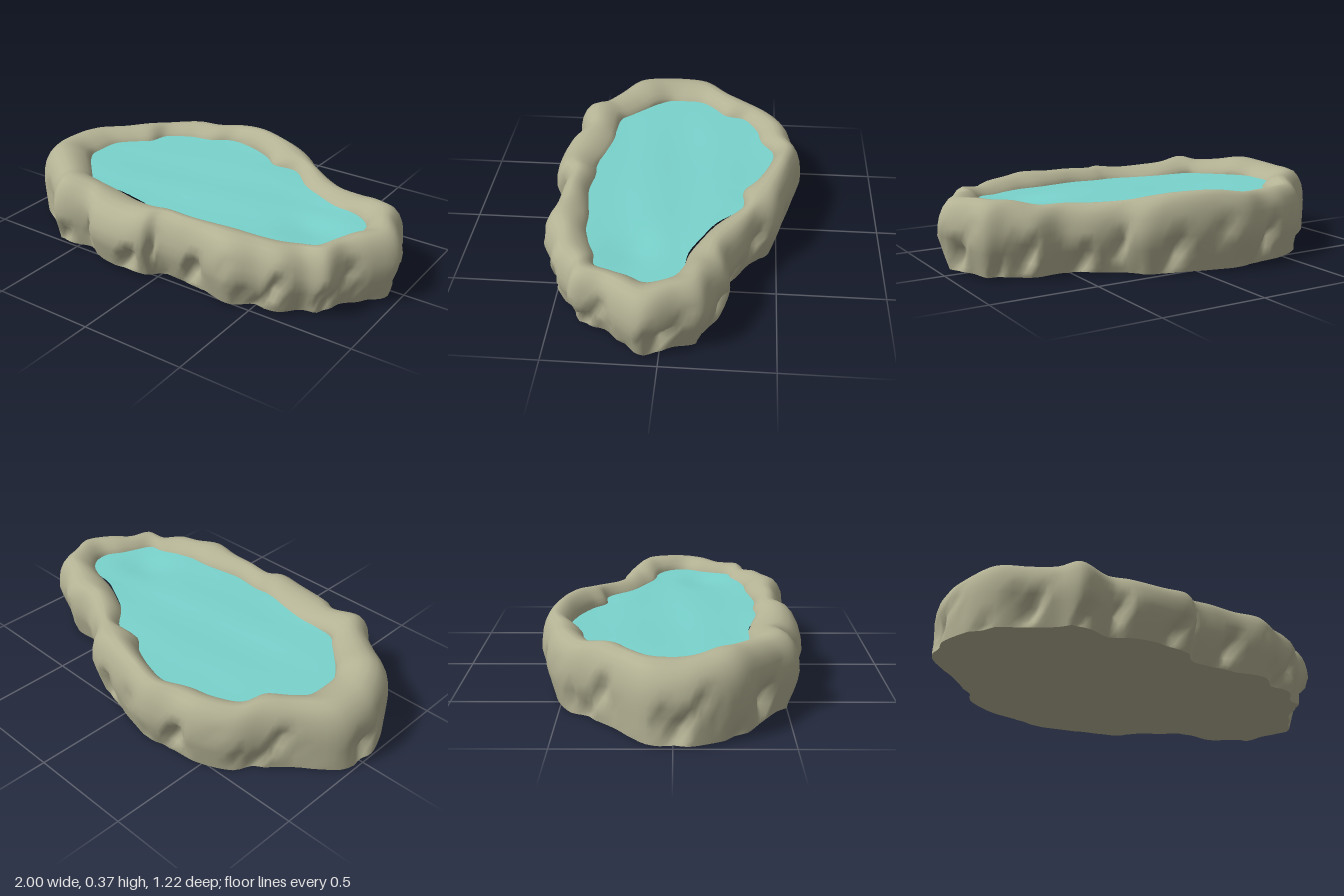
import * as THREE from 'three';

// Matching stations around the pond, clockwise from the right end: x, z pairs
const OUTER = [
  -1, .04, -.97, -.11, -.82, -.25, -.73, -.35, -.64, -.47, -.48, -.56, -.35, -.585, -.22, -.615,
  -.05, -.58, .14, -.53, .26, -.49, .34, -.4, .46, -.34, .57, -.285, .7, -.29, .8, -.23,
  .89, -.19, .93, -.08, 1, .06, .93, .18, .85, .27, .82, .39, .73, .42, .65, .5,
  .54, .52, .42, .575, .27, .55, .14, .54, .02, .54, -.03, .59, -.16, .605, -.33, .58,
  -.42, .525, -.58, .55, -.66, .47, -.76, .395, -.9, .29, -.97, .16];
const INNER = [
  -.74, .02, -.73, -.09, -.67, -.16, -.6, -.22, -.57, -.31, -.46, -.385, -.35, -.41, -.25, -.47,
  -.13, -.46, .03, -.39, .1, -.33, .22, -.33, .35, -.21, .46, -.15, .57, -.1, .68, -.085,
  .75, -.05, .79, 0, .795, .07, .76, .14, .73, .21, .69, .29, .61, .305, .54, .335,
  .45, .365, .35, .37, .25, .385, .14, .4, .01, .385, -.07, .39, -.2, .36, -.33, .335,
  -.42, .335, -.53, .325, -.57, .28, -.64, .21, -.7, .15, -.74, .08];
// Height of the rim crest at each station
const CREST = [
  .34, .34, .34, .345, .33, .34, .34, .35, .37, .365, .35, .335, .32, .32, .32, .345,
  .35, .35, .34, .34, .33, .33, .32, .33, .34, .35, .345, .345, .34, .34, .325, .33,
  .34, .36, .345, .35, .365, .35];
// Rim section: share of the way inward, share of the crest height
const SECTION = [
  [0, 0], [0, .07], [0, .2], [0, .34], [0, .48], [.015, .62], [.06, .75], [.14, .86],
  [.26, .95], [.42, 1], [.58, .995], [.74, .96], [.88, .9], [.97, .84], [1, .78], [1.02, .6]];
const COUNT = 38 * 5;
const WATER_Y = .285;

const loop = (pairs, heights) => {
  const points = [];
  for (let i = 0; i < pairs.length; i += 2) {
    points.push(new THREE.Vector3(pairs[i], heights ? heights[i / 2] : 0, pairs[i + 1]));
  }
  const curve = new THREE.CatmullRomCurve3(points, true);
  return Array.from({ length: COUNT }, (_, i) => curve.getPoint(i / COUNT));
};

// Joins closed rings of points into one smooth surface
function loft(rings, flip = false) {
  const positions = [], index = [];
  rings.forEach(ring => ring.forEach(p => positions.push(p.x, p.y, p.z)));
  for (let j = 0; j < rings.length - 1; j++) {
    for (let i = 0; i < COUNT; i++) {
      const n = (i + 1) % COUNT;
      const a = j * COUNT + i, b = j * COUNT + n, c = a + COUNT, d = b + COUNT;
      if (flip) index.push(a, b, c, b, d, c);
      else index.push(a, c, b, b, c, d);
    }
  }
  const geometry = new THREE.BufferGeometry();
  geometry.setAttribute('position', new THREE.Float32BufferAttribute(positions, 3));
  geometry.setIndex(index);
  geometry.computeVertexNormals();
  return geometry;
}

// Irregular hollows in the rock face, strongest at mid height and fading at the top
function hollow(i, h) {
  const a = i / COUNT * Math.PI * 2;
  const wave = Math.sin(a * 13 + h * 5) + .8 * Math.sin(a * 22 + 1.3 - h * 4) + .5 * Math.sin(a * 37 + h * 9);
  const band = Math.max(0, 1 - Math.abs(h - .3) / .4);
  return .045 * band * Math.max(0, wave - .3);
}

export function createModel() {
  const group = new THREE.Group();
  const stone = new THREE.MeshStandardMaterial({ color: 0xb4b294 });
  stone.name = 'stone';
  const water = new THREE.MeshStandardMaterial({ color: 0x7ad3cd });
  water.name = 'water';
  const add = (name, geometry, material) => {
    const mesh = new THREE.Mesh(geometry, material);
    mesh.name = name;
    group.add(mesh);
  };

  const outer = loop(OUTER, CREST), inner = loop(INNER);

  // Lumpy rock rim
  const rim = SECTION.map(([t, h]) => outer.map((o, i) => {
    const p = o.clone().lerp(inner[i], t);
    const inward = inner[i].clone().sub(o).setY(0).normalize();
    const undercut = .05 * Math.max(0, 1 - h / .45) * Math.min(1, (o.x + 1) * 1.5);
    p.addScaledVector(inward, undercut + hollow(i, h));
    const base = .012 + .014 * o.z;
    p.y = base + h * (o.y - base);
    return p;
  }));
  add('rockRim', loft(rim), stone);

  // Flat underside
  const underside = [1, .5, 0].map(s => rim[0].map(p => new THREE.Vector3(p.x * s, .012 + (p.y - .012) * s, p.z * s)));
  add('underside', loft(underside, true), stone);

  // Gently rippled water with a shallow dip near the left end
  const rings = [1.02, .94, .85, .75, .64, .52, .4, .27, .14, 0];
  const surface = rings.map(s => inner.map(p => {
    const x = p.x * s, z = .03 + (p.z - .03) * s;
    const ripple = .005 * Math.sin(x * 5 + z * 9) * Math.sin(z * 8 - x * 3 + 1);
    const dip = .018 * Math.exp(-((x - .58) ** 2 + (z - .14) ** 2) / .012);
    return new THREE.Vector3(x, WATER_Y + (1 - Math.min(1, s) ** 4) * ripple - dip, z);
  }));
  add('waterSurface', loft(surface), water);

  return group;
}
